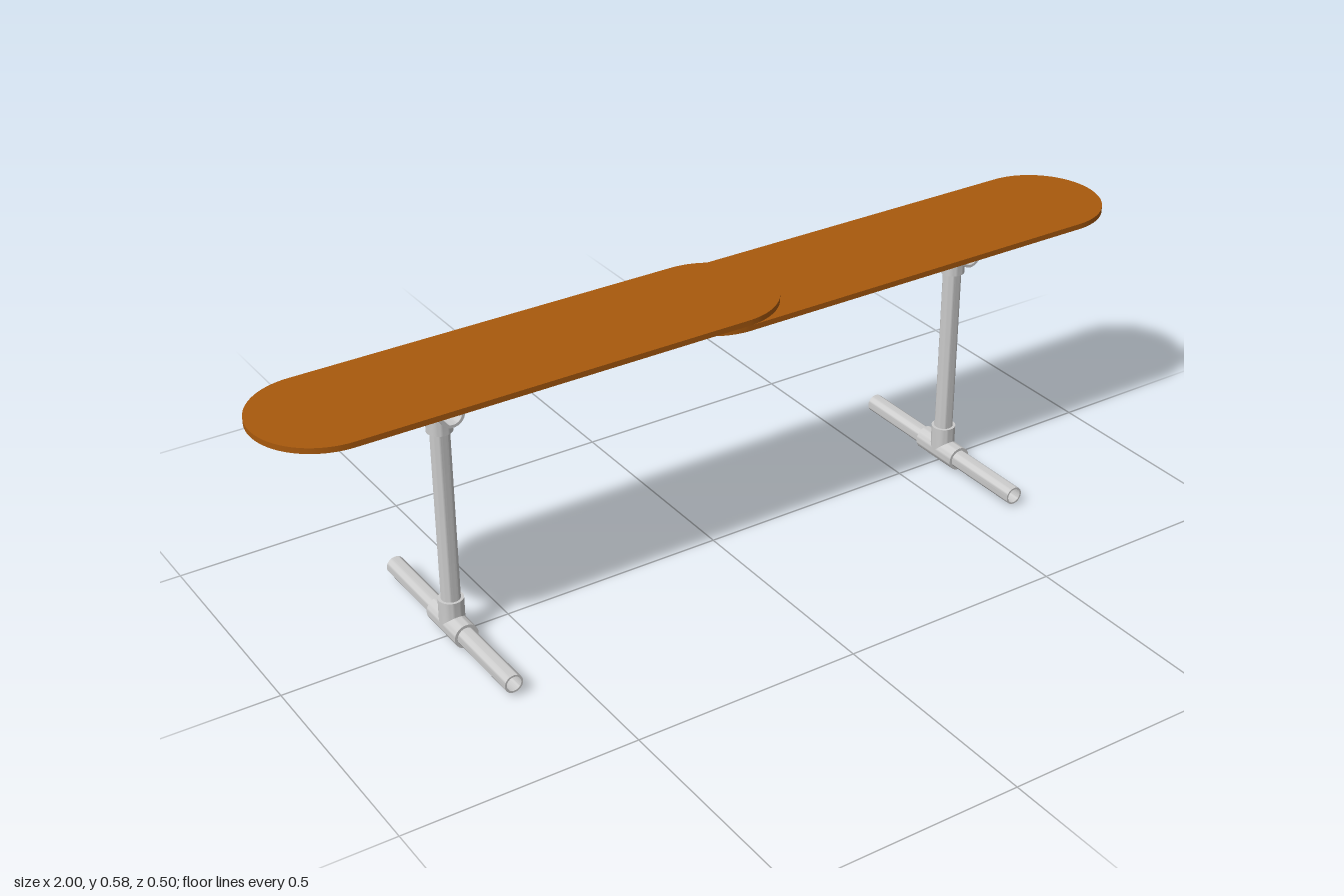
import * as THREE from 'three';
import { toCreasedNormals } from 'three/addons/utils/BufferGeometryUtils.js';

const PIPE_R = 0.02, PIPE_BORE = 0.016;
const TEE_R = 0.0265, TEE_BORE = 0.0203, TEE_REACH = 0.06;
const TEE_LOW = 0.0265, TEE_HIGH = 0.5285;

const grey = new THREE.MeshStandardMaterial({ color: 0xcccccc });
const wood = new THREE.MeshStandardMaterial({ color: 0xa8590d });

function part(name, geometry, material = grey) {
  const mesh = new THREE.Mesh(toCreasedNormals(geometry, 0.6), material);
  mesh.name = name;
  return mesh;
}

// Hollow pipe along y, from y0 to y1
function pipeGeometry(outer, bore, y0, y1) {
  const profile = [[outer, y0], [outer, y1], [bore, y1], [bore, y0], [outer, y0]];
  return new THREE.LatheGeometry(profile.map(([x, y]) => new THREE.Vector2(x, y)), 32);
}

// T-shaped pipe fitting: a sleeve along z with a branch pointing up
function createTee(name) {
  const tee = new THREE.Group();
  tee.name = name;
  const sleeve = pipeGeometry(TEE_R, TEE_BORE, -TEE_REACH, TEE_REACH).rotateX(Math.PI / 2);
  const branch = pipeGeometry(TEE_R, TEE_BORE, 0, TEE_REACH);
  // Cut the lower end of the branch to a saddle that sits on the sleeve
  const p = branch.attributes.position;
  for (let i = 0; i < p.count; i++) {
    if (p.getY(i) < 0.001) {
      p.setY(i, Math.sqrt(Math.max(0, TEE_R ** 2 - p.getX(i) ** 2)));
    }
  }
  tee.add(part('teeSleeve', sleeve), part('teeBranch', branch));
  return tee;
}

// Pipe stand: foot, lower tee, upright, upper tee
function createStand(name, x, y, z) {
  const stand = new THREE.Group();
  stand.name = name;
  const foot = part('footPipe', pipeGeometry(PIPE_R, PIPE_BORE, -0.25, 0.25).rotateX(Math.PI / 2));
  foot.position.y = TEE_LOW;
  const upright = part('uprightPipe',
    pipeGeometry(PIPE_R, PIPE_BORE, TEE_LOW + TEE_R, TEE_HIGH - TEE_R));
  const lowerTee = createTee('lowerTee');
  lowerTee.position.y = TEE_LOW;
  const upperTee = createTee('upperTee');
  upperTee.position.y = TEE_HIGH;
  upperTee.rotation.z = Math.PI;
  stand.add(foot, upright, lowerTee, upperTee);
  stand.position.set(x, y, z);
  return stand;
}

// Flat plank with fully rounded ends
function createPlank(name, x, y) {
  const r = 0.1425, half = 0.57 - r, thickness = 0.012;
  const outline = new THREE.Shape();
  outline.absarc(half, 0, r, -Math.PI / 2, Math.PI / 2);
  outline.absarc(-half, 0, r, Math.PI / 2, Math.PI * 1.5);
  outline.closePath();
  const geometry = new THREE.ExtrudeGeometry(outline, {
    depth: thickness, bevelEnabled: false, curveSegments: 32,
  }).rotateX(-Math.PI / 2);
  const plank = part(name, geometry, wood);
  plank.position.set(x, y, -0.01);
  return plank;
}

export function createModel() {
  const bench = new THREE.Group();
  bench.name = 'bench';
  bench.add(
    createStand('leftStand', 0.622, 0, -0.002),
    createStand('rightStand', -0.627, 0.004, 0.003),
    // The right plank overlaps on top of the left one
    createPlank('leftPlank', 0.43, 0.56),
    createPlank('rightPlank', -0.43, 0.572),
  );
  return bench;
}
